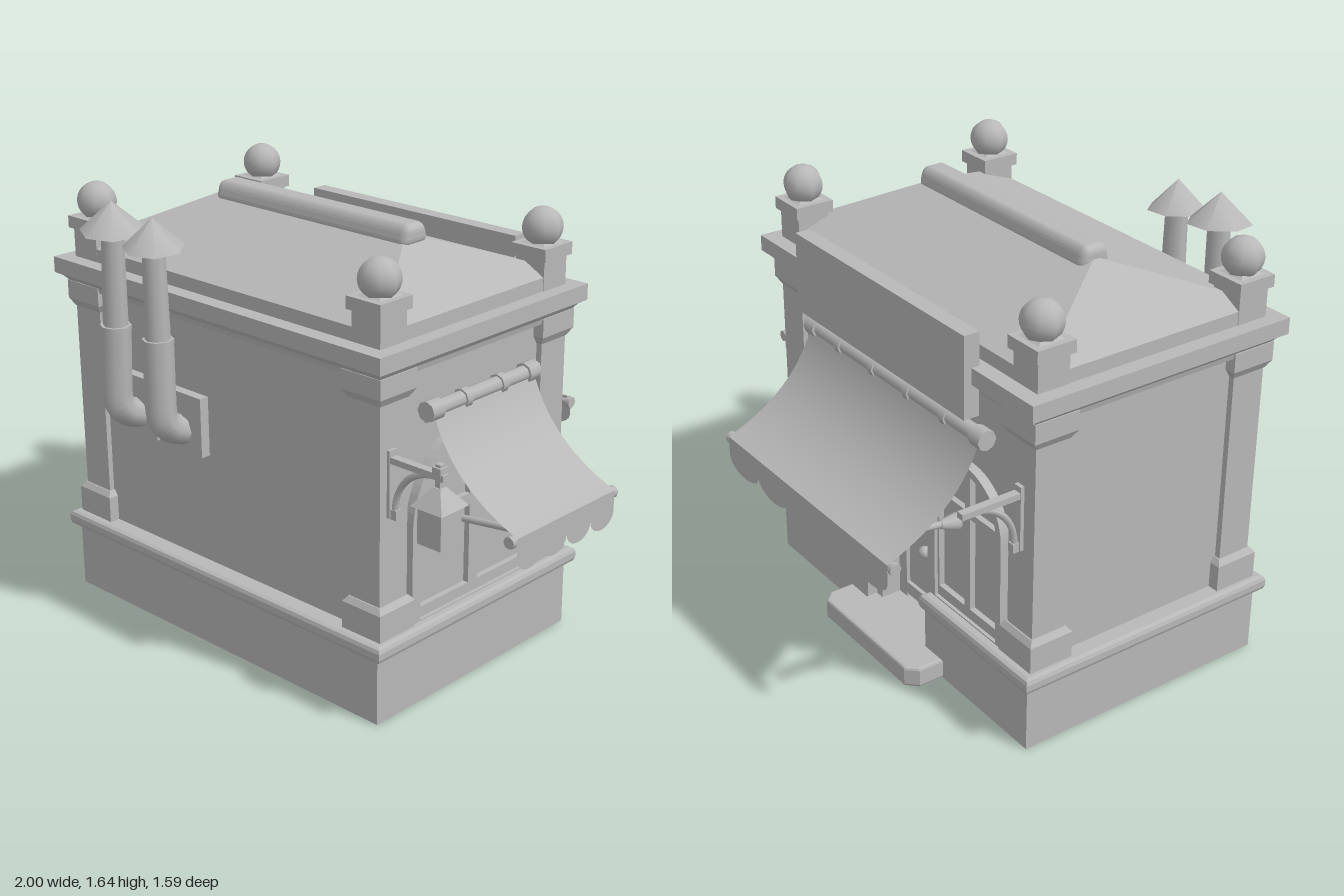
import * as THREE from 'three';
import { RoundedBoxGeometry } from 'three/addons/geometries/RoundedBoxGeometry.js';

const stone = new THREE.MeshStandardMaterial({ color: 0xb8b8b8, side: THREE.DoubleSide });
stone.name = 'plain grey';

function add(parent, name, geo, x = 0, y = 0, z = 0) {
  const m = new THREE.Mesh(geo, stone);
  m.name = name;
  m.position.set(x, y, z);
  parent.add(m);
  return m;
}
const box = (p, name, w, h, d, x, y, z) => add(p, name, new THREE.BoxGeometry(w, h, d), x, y, z);

// Block whose bottom (w0 x d0) and top (w1 x d1) differ
function taper(p, name, w0, d0, w1, d1, y0, y1, x = 0, z = 0) {
  const g = new THREE.BoxGeometry(1, y1 - y0, 1), a = g.attributes.position;
  for (let i = 0; i < a.count; i++) {
    const top = a.getY(i) > 0;
    a.setX(i, a.getX(i) * (top ? w1 : w0));
    a.setZ(i, a.getZ(i) * (top ? d1 : d0));
  }
  g.computeVertexNormals();
  return add(p, name, g, x, (y0 + y1) / 2, z);
}

// Round rod between two points
function rod(p, name, a, b, r0, r1 = r0) {
  const A = new THREE.Vector3(...a), B = new THREE.Vector3(...b), d = B.clone().sub(A);
  const m = add(p, name, new THREE.CylinderGeometry(r1, r0, d.length(), 8));
  m.position.copy(A).add(B).multiplyScalar(0.5);
  m.quaternion.setFromUnitVectors(new THREE.Vector3(0, 1, 0), d.normalize());
  return m;
}

const points = (list) => list.map(([x, y]) => new THREE.Vector2(x, y));

// Floor outline with a doorway notch in the back edge
const outline = (hw, hd, nw, nz) => points([[-hw, -hd], [hw, -hd], [hw, hd], [nw, hd],
  [nw, nz], [-nw, nz], [-nw, hd], [-hw, hd]]);
const rect = (hw, hd) => points([[-hw, -hd], [hw, -hd], [hw, hd], [-hw, hd]]);

// Upright extrusion of a floor outline, with an optional hollow middle
function slab(p, name, pts, y0, y1, hole, bevel = 0) {
  const s = new THREE.Shape(pts);
  if (hole) s.holes.push(new THREE.Path(hole));
  const g = new THREE.ExtrudeGeometry(s, {
    depth: y1 - y0 - 2 * bevel, bevelEnabled: bevel > 0, bevelSize: bevel,
    bevelThickness: bevel, bevelOffset: -bevel, bevelSegments: 2,
  });
  g.rotateX(-Math.PI / 2);
  return add(p, name, g, 0, y0 + bevel, 0);
}

// Arched window with two lower panes and two quarter-round panes, facing +z
function archWindow(p, half, y0, spring) {
  const w = new THREE.Group();
  w.name = 'archedWindow';
  const arch = (r, b) => {
    const s = new THREE.Shape();
    s.moveTo(-r, b); s.lineTo(r, b); s.lineTo(r, spring);
    s.absarc(0, spring, r, 0, Math.PI, false);
    s.lineTo(-r, b);
    return s;
  };
  const extrude = (s, d) => new THREE.ExtrudeGeometry(s, { depth: d, bevelEnabled: false, curveSegments: 16 });
  const inner = half * 0.87, bar = half * 0.075, r = inner - 0.01;
  const trim = arch(half, y0);
  trim.holes.push(arch(inner, y0 + 0.005));
  add(w, 'archTrim', extrude(trim, 0.035));
  const frame = arch(inner, y0 + 0.005);
  for (const s of [-1, 1]) {
    const low = new THREE.Path(points([[s * bar, y0 + 0.045], [s * r, y0 + 0.045], [s * r, spring], [s * bar, spring]]));
    const up = new THREE.Path();
    const base = spring + bar * 1.6, a0 = Math.asin((base - spring) / r), a1 = Math.acos(bar / r);
    up.moveTo(s * bar, base);
    for (let i = 0; i <= 8; i++) {
      const a = a0 + (a1 - a0) * i / 8;
      up.lineTo(s * r * Math.cos(a), spring + r * Math.sin(a));
    }
    up.closePath();
    frame.holes.push(low, up);
  }
  add(w, 'windowFrame', extrude(frame, 0.022));
  p.add(w);
  return w;
}

// Awning facing +z: roller, curved cloth, scalloped edge, front bar and arms
function awning(p, width, scallops, rings) {
  const g = new THREE.Group();
  g.name = 'awning';
  const L = width + 0.04, yTop = 1.08;
  rod(g, 'roller', [-L / 2, yTop, 0.02], [L / 2, yTop, 0.02], 0.028);
  const ring = (x, w, r) => rod(g, 'rollerRing', [x - w / 2, yTop, 0.02], [x + w / 2, yTop, 0.02], r);
  for (const s of [-1, 1]) ring(s * (L / 2 - 0.03), 0.06, 0.037);
  for (let i = 1; i <= rings; i++) ring(L * (i / (rings + 1) - 0.5), 0.03, 0.035);

  const curve = new THREE.QuadraticBezierCurve3(
    new THREE.Vector3(0, 1.08, 0.035), new THREE.Vector3(0, 0.84, 0.12), new THREE.Vector3(0, 0.738, 0.4));
  const cloth = new THREE.PlaneGeometry(width, 1, 1, 14), a = cloth.attributes.position;
  for (let i = 0; i < a.count; i++) {
    const q = curve.getPoint(0.5 - a.getY(i));
    a.setXYZ(i, a.getX(i), q.y, q.z);
  }
  cloth.computeVertexNormals();
  add(g, 'cloth', cloth);

  const edge = new THREE.Shape(), step = width / scallops;
  edge.moveTo(-width / 2, 0);
  for (let i = 0; i < scallops; i++) {
    for (let k = 0; k <= 10; k++) {
      const t = Math.PI * k / 10;
      edge.lineTo(-width / 2 + (i + 0.5 - 0.5 * Math.cos(t)) * step, -0.075 - 0.052 * Math.sin(t));
    }
  }
  edge.lineTo(width / 2, 0);
  add(g, 'scallopedEdge', new THREE.ShapeGeometry(edge), 0, 0.738, 0.4);

  rod(g, 'frontBar', [-L / 2, 0.723, 0.38], [L / 2, 0.723, 0.38], 0.011);
  for (const s of [-1, 1]) {
    rod(g, 'barEnd', [s * (L / 2 - 0.02), 0.723, 0.38], [s * L / 2, 0.723, 0.38], 0.022);
    const x = s * width * 0.33;
    rod(g, 'armSocket', [x, 0.67, 0], [x, 0.682, 0.07], 0.034, 0.016);
    rod(g, 'arm', [x, 0.68, 0.05], [x, 0.723, 0.38], 0.013);
  }
  p.add(g);
  return g;
}

// Wall bracket facing +z, with an optional hanging lantern
function bracket(p, lantern) {
  const g = new THREE.Group();
  g.name = 'lampBracket';
  box(g, 'wallPlate', 0.035, 0.24, 0.015, 0, 0.87, 0.007);
  box(g, 'bracketArm', 0.03, 0.022, 0.24, 0, 0.957, 0.12);
  const brace = new THREE.TorusGeometry(0.17, 0.012, 6, 12, Math.PI / 2);
  brace.rotateZ(Math.PI / 2);
  brace.rotateY(-Math.PI / 2);
  add(g, 'brace', brace, 0, 0.78, 0.195);
  box(g, 'braceFoot', 0.025, 0.035, 0.025, 0, 0.765, 0.027);
  if (lantern) {
    box(g, 'hanger', 0.022, 0.09, 0.022, 0, 0.955, 0.215);
    box(g, 'hangerCap', 0.036, 0.03, 0.036, 0, 0.975, 0.215);
    taper(g, 'lanternRoof', 0.135, 0.135, 0.03, 0.03, 0.855, 0.92, 0, 0.215);
    box(g, 'lanternBody', 0.1, 0.135, 0.1, 0, 0.79, 0.215);
  }
  p.add(g);
  return g;
}

// Stove pipe bent out of the front wall, with a seven-sided rain cap
function stovePipe(p, x, top, capR, lean) {
  const g = new THREE.Group();
  g.name = 'stovePipe';
  box(g, 'pipePlate', 0.215, 0.225, 0.045, x, 0.845, 0.48);
  const path = new THREE.CatmullRomCurve3([[0, 0.8, 0.46], [0, 0.83, 0.54], [0, 0.865, 0.58], [0, 0.92, 0.592],
    [lean * 0.5, 1.18, 0.592]].map(([a, b, c]) => new THREE.Vector3(x + a, b, c)), false, 'catmullrom', 0.3);
  add(g, 'lowerPipe', new THREE.TubeGeometry(path, 20, 0.056, 8, false));
  rod(g, 'pipeCollar', [x + lean * 0.48, 1.165, 0.592], [x + lean * 0.5, 1.182, 0.592], 0.057);
  rod(g, 'upperPipe', [x + lean * 0.5, 1.17, 0.592], [x + lean, top - 0.08, 0.594], 0.046, 0.04);
  const cap = add(g, 'rainCap', new THREE.ConeGeometry(capR, 0.11, 7), x + lean, top - 0.055, 0.594);
  cap.rotation.set(0.06, 0, -0.07);
  p.add(g);
}

export function createModel() {
  const model = new THREE.Group();
  model.name = 'shopBuilding';
  const house = new THREE.Group();
  house.name = 'house';
  house.position.set(-0.176, 0, 0.085);
  model.add(house);

  // Hollow base, ledge and walls, all notched for the doorway
  slab(house, 'base', outline(0.79, 0.515, 0.19, 0.36), 0, 0.26, outline(0.78, 0.505, 0.2, 0.35));
  slab(house, 'ledge', outline(0.822, 0.542, 0.19, 0.36), 0.25, 0.31, outline(0.67, 0.385, 0.26, 0.28), 0.018);
  slab(house, 'lowerWalls', outline(0.75, 0.465, 0.17, 0.36), 0.26, 0.9, outline(0.72, 0.435, 0.2, 0.33));
  slab(house, 'upperWalls', rect(0.75, 0.465), 0.9, 1.3, rect(0.72, 0.435));
  box(house, 'doorwayCeiling', 0.4, 0.02, 0.12, 0, 0.91, -0.4);

  // Cornice and hipped roof
  taper(house, 'coveBottom', 1.565, 0.995, 1.575, 1.005, 1.23, 1.25);
  taper(house, 'coveMiddle', 1.575, 1.005, 1.6, 1.035, 1.25, 1.267);
  taper(house, 'coveTop', 1.6, 1.035, 1.645, 1.08, 1.267, 1.28);
  box(house, 'cornice', 1.645, 0.06, 1.08, 0, 1.31, 0);
  box(house, 'roofCurb', 1.53, 0.05, 0.96, 0, 1.365, 0);
  taper(house, 'roof', 1.53, 0.96, 0.9, 0.02, 1.39, 1.56);
  const ridge = new RoundedBoxGeometry(0.95, 0.08, 0.14, 3, 0.03), rp = ridge.attributes.position;
  for (let i = 0; i < rp.count; i++) rp.setZ(i, rp.getZ(i) * (0.82 - 4 * rp.getY(i)));
  ridge.computeVertexNormals();
  add(house, 'ridgeCap', ridge, 0.022, 1.565, 0.002);

  // Corner pillars with plinths, capitals, posts and ball finials
  for (const sx of [-1, 1]) for (const sz of [-1, 1]) {
    const x = sx * 0.705, z = sz * 0.418;
    box(house, 'pillar', 0.135, 0.9, 0.135, x, 0.75, z);
    box(house, 'plinth', 0.175, 0.1, 0.175, x, 0.36, z);
    taper(house, 'plinthTop', 0.175, 0.175, 0.145, 0.145, 0.41, 0.43, x, z);
    taper(house, 'capitalNeck', 0.14, 0.14, 0.175, 0.175, 1.15, 1.18, x, z);
    box(house, 'capital', 0.175, 0.07, 0.175, x, 1.215, z);
    box(house, 'post', 0.125, 0.12, 0.125, x, 1.39, z);
    box(house, 'postCap', 0.152, 0.045, 0.152, x, 1.4725, z);
    taper(house, 'ballSeat', 0.11, 0.11, 0.05, 0.05, 1.494, 1.51, x, z);
    add(house, 'ballFinial', new THREE.SphereGeometry(0.073, 8, 12), x + 0.002, 1.55, z);
  }

  // Side of the shop: large window, awning and lantern
  const side = new THREE.Group();
  side.name = 'sideFront';
  side.rotation.y = Math.PI / 2;
  side.position.x = 0.75;
  house.add(side);
  archWindow(side, 0.335, 0.31, 0.66);
  awning(side, 0.53, 4, 2).position.z = 0.022;
  bracket(side, true).position.set(-0.435, 0, 0.02);

  // Entrance side: two windows, door, awning, sign board and bracket
  const back = new THREE.Group();
  back.name = 'entranceFront';
  back.rotation.y = Math.PI;
  back.position.z = -0.465;
  house.add(back);
  for (const s of [-1, 1]) archWindow(back, 0.205, 0.31, 0.72).position.x = s * 0.41;
  awning(back, 1.04, 5, 4).position.z = 0.018;
  bracket(back, false).position.set(0.70, 0, 0.02);
  box(back, 'signBoard', 1.02, 0.3, 0.06, -0.005, 1.31, 0.075);

  // Door with raised panels and a handle
  box(back, 'door', 0.34, 0.84, 0.03, 0, 0.48, -0.1);
  for (const s of [-1, 1]) {
    box(back, 'doorJamb', 0.035, 0.85, 0.11, s * 0.17, 0.475, -0.045);
    box(back, 'doorStile', 0.05, 0.82, 0.02, s * 0.13, 0.48, -0.08);
  }
  for (const y of [0.12, 0.45, 0.87]) box(back, 'doorRail', 0.3, 0.05, 0.02, 0, y, -0.08);
  box(back, 'doorLintel', 0.4, 0.04, 0.04, 0, 0.9, 0.01);
  rod(back, 'handleStem', [0.12, 0.42, -0.08], [0.12, 0.42, -0.01], 0.012);
  add(back, 'doorKnob', new THREE.SphereGeometry(0.024, 12, 8), 0.12, 0.42, 0);

  // Doorstep with clipped front corners
  box(back, 'threshold', 0.38, 0.08, 0.17, 0, 0.04, -0.02);
  slab(back, 'doorstep', points([[-0.3, -0.05], [0.3, -0.05], [0.3, -0.15], [0.26, -0.19],
    [-0.26, -0.19], [-0.3, -0.15]]), 0, 0.08, null, 0.01);

  // Stove pipes on the wall opposite the entrance
  stovePipe(house, -0.426, 1.64, 0.118, 0.025);
  stovePipe(house, -0.184, 1.62, 0.11, 0.0);

  return model;
}
